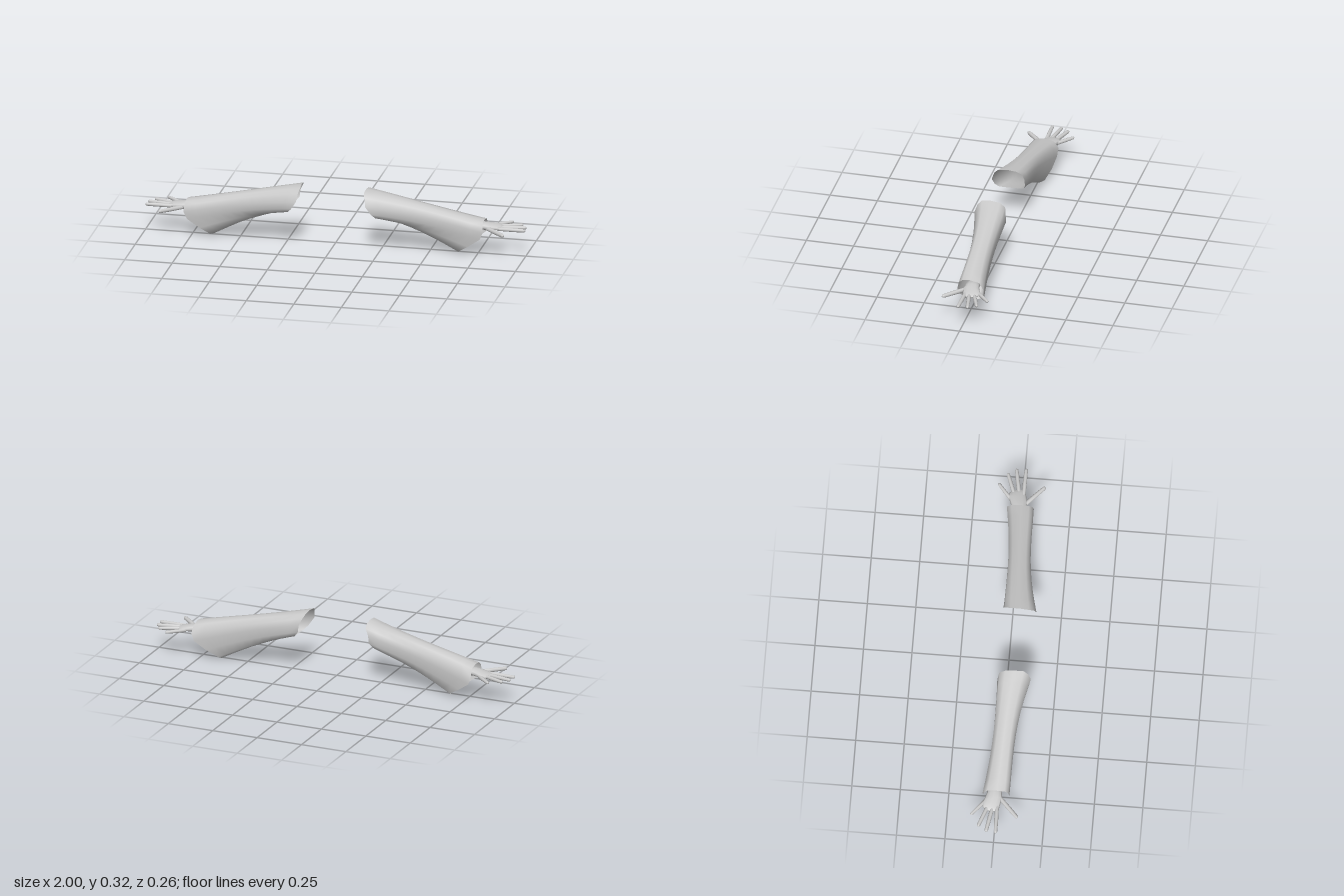
import * as THREE from 'three';

const grey = new THREE.MeshStandardMaterial({ color: 0xcccccc });
const cloth = new THREE.MeshStandardMaterial({ color: 0xcccccc, side: THREE.DoubleSide });

// Skin a surface over closed rings of [x, y, z], ordered along +x
function loft(rings, material, name) {
  const n = rings[0].length, index = [];
  for (let i = 0; i < rings.length - 1; i++) {
    for (let j = 0; j < n; j++) {
      const a = i * n + j, b = i * n + (j + 1) % n;
      index.push(a, b, a + n, b, b + n, a + n);
    }
  }
  const geo = new THREE.BufferGeometry();
  geo.setAttribute('position', new THREE.Float32BufferAttribute(rings.flat(2), 3));
  geo.setIndex(index);
  geo.computeVertexNormals();
  const mesh = new THREE.Mesh(geo, material);
  mesh.name = name;
  return mesh;
}

// Elliptical ring: centre (x, y, z), half height h, half width w
function ring(x, y, z, h, w, sides = 12) {
  return Array.from({ length: sides }, (_, k) => {
    const a = (k / sides) * Math.PI * 2;
    return [x, y + h * Math.cos(a), z + w * Math.sin(a)];
  });
}

// Slanted sleeve openings, from the top over the front, bottom and back
const shoulder = [
  [0.17, 0.318, 0.04], [0.168, 0.312, 0.09], [0.175, 0.29, 0.112], [0.183, 0.247, 0.127],
  [0.21, 0.205, 0.118], [0.23, 0.182, 0.1], [0.237, 0.178, 0.05], [0.237, 0.18, 0],
  [0.225, 0.19, -0.03], [0.2, 0.22, -0.045], [0.195, 0.26, -0.042], [0.178, 0.295, -0.035],
  [0.172, 0.312, -0.005],
];
const cuff = [
  [0.783, 0.183, 0], [0.783, 0.178, 0.04], [0.785, 0.163, 0.058], [0.787, 0.13, 0.065],
  [0.77, 0.092, 0.061], [0.705, 0.045, 0.052], [0.652, 0.012, 0.039], [0.643, 0, -0.01],
  [0.652, 0.012, -0.035], [0.712, 0.05, -0.058], [0.772, 0.092, -0.07], [0.787, 0.135, -0.074],
  [0.783, 0.173, -0.05],
];

// Straight along the top, pinched in the middle and arched underneath
function makeSleeve() {
  const rings = [], steps = 10;
  for (let i = 0; i <= steps; i++) {
    const t = i / steps, s = Math.sin(Math.PI * t);
    rings.push(shoulder.map((p, k) => {
      const q = p.map((v, c) => v + (cuff[k][c] - v) * t);
      const low = (1 - Math.cos((k / shoulder.length) * Math.PI * 2)) / 2;
      return [q[0], q[1] + 0.013 * s * low, q[2] * (1 - 0.24 * s)];
    }));
  }
  return loft(rings, cloth, 'sleeve');
}

// Tapered finger with a rounded tip, from base to tip in the x-z plane
function makeFinger([x0, z0, x1, z1, r], name) {
  const len = Math.hypot(x1 - x0, z1 - z0);
  const profile = [
    [0, 0.05], [0.002, 1], [len * 0.5, 1], [len - r, 0.88],
    [len - r * 0.35, 0.68], [len - r * 0.05, 0.3], [len, 0.02],
  ];
  const mesh = loft(profile.map(([x, s]) => ring(x, 0, 0, r * s, r * s, 8)), grey, name);
  mesh.position.set(x0, 0.139, z0);
  mesh.rotation.y = Math.atan2(z0 - z1, x1 - x0);
  return mesh;
}

function makeHand() {
  const hand = new THREE.Group();
  hand.name = 'hand';
  // Wrist, palm and knuckles
  hand.add(loft([
    ring(0.745, 0.146, -0.012, 0.001, 0.001),
    ring(0.746, 0.146, -0.012, 0.021, 0.038),
    ring(0.785, 0.146, -0.012, 0.019, 0.038),
    ring(0.81, 0.144, -0.015, 0.017, 0.044),
    ring(0.84, 0.142, -0.024, 0.014, 0.047),
    ring(0.862, 0.14, -0.024, 0.011, 0.042),
    ring(0.878, 0.139, -0.017, 0.007, 0.028),
    ring(0.882, 0.139, -0.015, 0.001, 0.003),
  ], grey, 'palm'));
  const fingers = {
    thumb: [0.795, 0.008, 0.907, 0.116, 0.0115],
    indexFinger: [0.85, 0.006, 0.999, 0.01, 0.0105],
    middleFinger: [0.855, -0.016, 0.995, -0.04, 0.0105],
    ringFinger: [0.845, -0.038, 0.969, -0.083, 0.01],
    littleFinger: [0.825, -0.055, 0.909, -0.126, 0.0095],
  };
  for (const [name, spec] of Object.entries(fingers)) hand.add(makeFinger(spec, name));
  return hand;
}

export function createModel() {
  const model = new THREE.Group();
  model.name = 'sleevesAndHands';
  // Two mirrored arms
  for (const [name, side] of [['leftArm', 1], ['rightArm', -1]]) {
    const arm = new THREE.Group();
    arm.name = name;
    arm.add(makeSleeve(), makeHand());
    arm.scale.x = side;
    model.add(arm);
  }
  return model;
}
